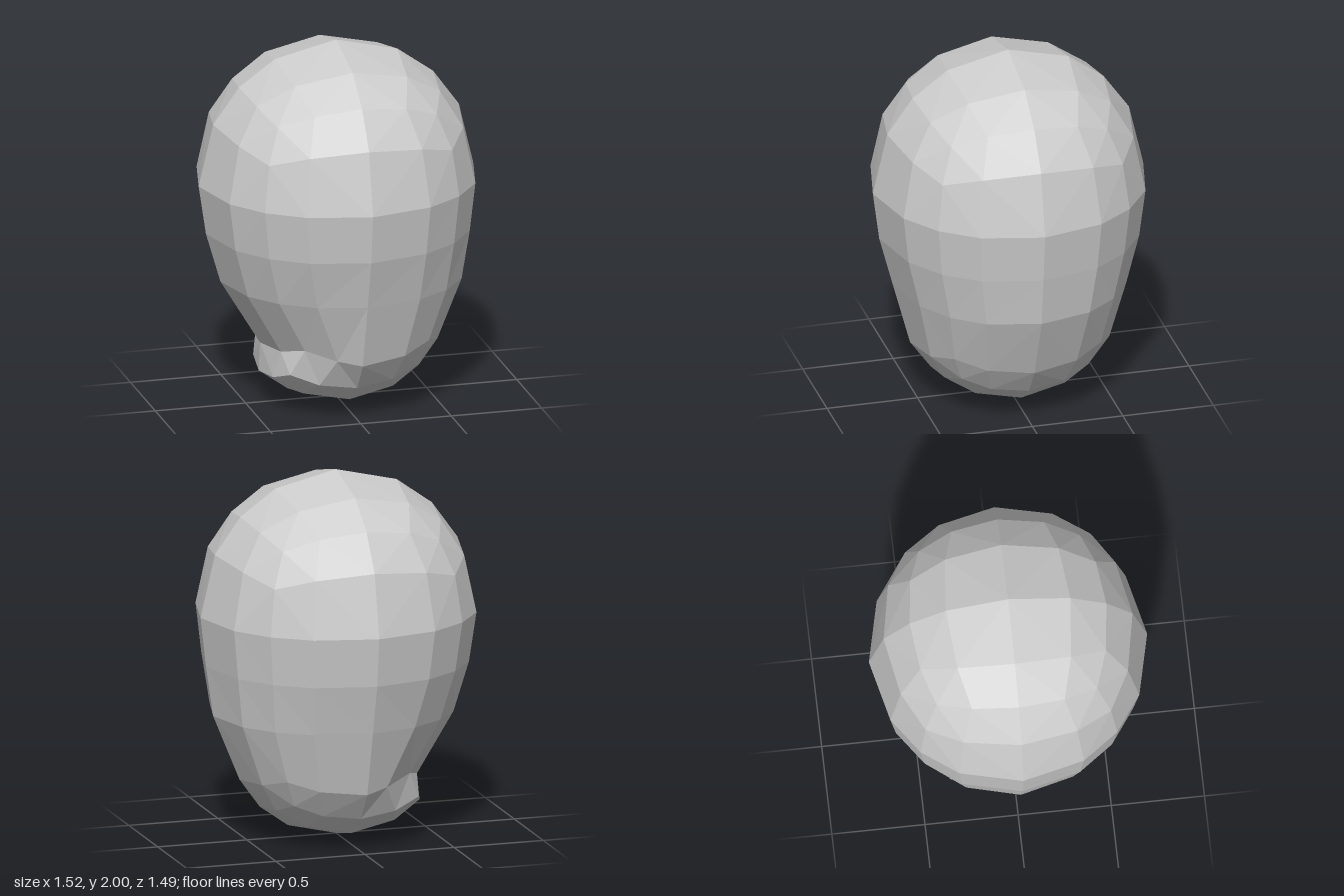
import * as THREE from 'three';

// Side rows of the cube, bottom to top: two on the small lower ball, two straight
// neck-down rings, then the crown. "shift" pushes the -x half inwards (face hollow).
const ROWS = [
  { ball: 'chin', cubeY: -1, shift: 0 },
  { ball: 'chin', cubeY: -0.5, shift: 0.12 },
  { ring: 0.695, sx: 0.907, sz: 0.855, shift: 0.05 },
  { ring: 0.97, sx: 0.96, sz: 0.953, shift: 0.01 },
  { ball: 'crown', cubeY: 0, shift: 0 },
  { ball: 'crown', cubeY: 0.5, shift: 0 },
  { ball: 'crown', cubeY: 1, shift: 0 },
];
const BALLS = {
  chin: { y: 0.605, r: [0.605, 0.605, 0.605] },
  crown: { y: 1.24, r: [0.76, 0.76, 0.747] },
};

// Moves a cube point onto its ball or ring
function place(p) {
  const row = ROWS[Math.round((p.y + 1) * 3)];
  const ball = BALLS[row.ball ?? 'crown'];
  const side = p.x < -0.01 ? row.shift : 0;
  p.y = row.cubeY ?? 0;
  p.normalize().multiply(new THREE.Vector3(...ball.r));
  p.y += ball.y;
  if (row.ring) p.set(p.x * row.sx, row.ring, p.z * row.sz);
  p.x += side;
  return p;
}

export function createModel() {
  const geo = new THREE.BoxGeometry(2, 2, 2, 4, 6, 4);
  const pos = geo.attributes.position;
  const pts = [];
  for (let i = 0; i < pos.count; i++) {
    const p = place(new THREE.Vector3().fromBufferAttribute(pos, i));
    pos.setXYZ(i, p.x, p.y, p.z);
    pts.push(p);
  }

  // Split each quad along its shorter diagonal
  const src = geo.index.array;
  const index = [];
  for (let i = 0; i < src.length; i += 6) {
    const [a, b, d] = [src[i], src[i + 1], src[i + 2]];
    const c = src[i + 4];
    if (pts[a].distanceTo(pts[c]) < pts[b].distanceTo(pts[d]) - 1e-4) index.push(a, b, c, a, c, d);
    else index.push(a, b, d, b, c, d);
  }
  geo.setIndex(index);
  geo.clearGroups();

  const flat = geo.toNonIndexed();
  flat.computeVertexNormals();
  const head = new THREE.Mesh(flat, new THREE.MeshStandardMaterial({ color: 0xcccccc, flatShading: true }));
  head.name = 'head';

  const group = new THREE.Group();
  group.name = 'headModel';
  group.add(head);
  return group;
}
